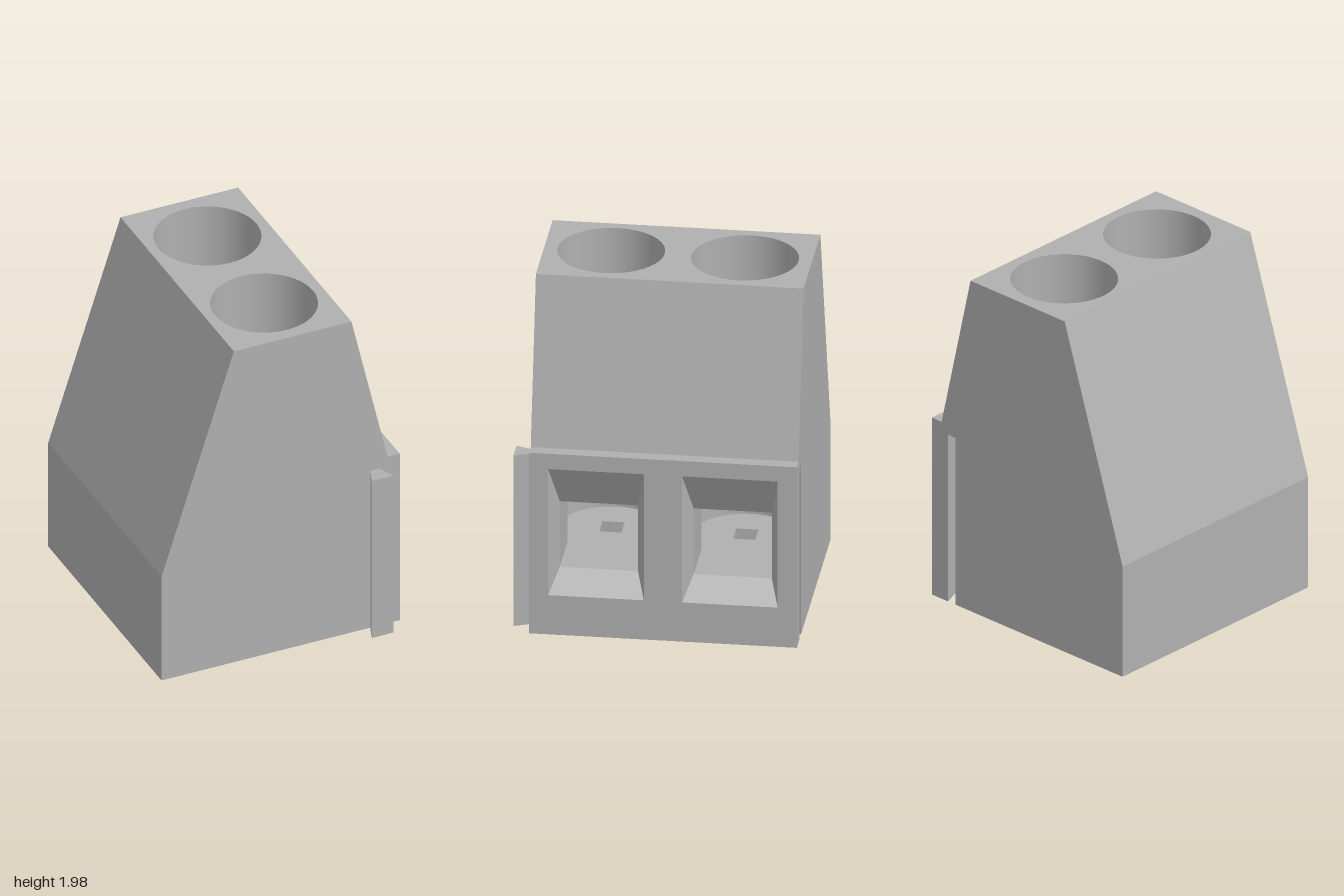
import * as THREE from 'three';

const W = 0.72;                       // half length of the block
const CELLS = [-0.36, 0.36];          // centre of each terminal
const R = 0.288, CZ = 0.069;          // screw well radius and depth position
const HALF = 0.21, FLOOR = 0.345, CEIL = 0.73, MOUTH = 0.58; // wire tunnel
const GROOVE = [[0, 0.527], [0.095, 0.49], [0.095, 0.618], [0, 0.581]]; // [depth, z]
const KEY_TOP = 1.0;

// Cross-section as [z, y]
const PROFILE = [[-0.7, 0], [-0.7, 0.66], [-0.275, 1.98], [0.416, 1.98],
  [0.628, 1.06], [0.7, 1.06], [0.7, 0]];

const poly = (pts) => new THREE.Shape(pts.map(([a, b]) => new THREE.Vector2(a, b)));
const rect = (x0, y0, x1, y1) => poly([[x0, y0], [x1, y0], [x1, y1], [x0, y1]]);

export function createModel() {
  const plastic = new THREE.MeshStandardMaterial({ color: 0xb0b0b0, side: THREE.DoubleSide });
  plastic.name = 'grey plastic';
  const block = new THREE.Group();
  block.name = 'terminalBlock';

  const add = (name, geometry, parent = block) => {
    const mesh = new THREE.Mesh(geometry, plastic);
    mesh.name = name;
    parent.add(mesh);
    return mesh;
  };

  // Flat panel: a 2D shape carried into space by a mapping rule
  const panel = (name, shape, map, parent) => {
    const g = new THREE.ShapeGeometry(shape, 24);
    const p = g.attributes.position;
    for (let i = 0; i < p.count; i++) p.setXYZ(i, ...map(p.getX(i), p.getY(i)));
    g.computeVertexNormals();
    return add(name, g, parent);
  };

  // Flat-sided wall between two matching loops of points
  const wall = (name, a, b, closed, parent) => {
    const pos = [];
    const n = a.length;
    for (let i = 0; i < (closed ? n : n - 1); i++) {
      const j = (i + 1) % n;
      pos.push(...a[i], ...a[j], ...b[j], ...a[i], ...b[j], ...b[i]);
    }
    const g = new THREE.BufferGeometry();
    g.setAttribute('position', new THREE.Float32BufferAttribute(pos, 3));
    g.computeVertexNormals();
    return add(name, g, parent);
  };

  // Outer skin, one panel per edge of the cross-section
  const names = ['backWall', 'backSlope', 'top', 'frontSlope', 'lipTop', 'wireFace', 'base'];
  PROFILE.forEach(([z0, y0], i) => {
    const [z1, y1] = PROFILE[(i + 1) % PROFILE.length];
    const len = Math.hypot(z1 - z0, y1 - y0);
    let shape = rect(-W, 0, W, len);
    if (names[i] === 'base') {
      const notch = GROOVE.map(([d, z]) => [W - d, 0.7 - z]).reverse();
      shape = poly([[-W, 0], [W, 0], ...notch, [W, len], [-W, len]]);
    }
    for (const c of CELLS) {
      if (names[i] === 'top') {
        shape.holes.push(new THREE.Path().absarc(c, CZ - z0, R, 0, Math.PI * 2, true));
      } else if (names[i] === 'wireFace') {
        shape.holes.push(rect(c - 0.2575, 1.06 - 0.97, c + 0.2575, 1.06 - 0.23));
      } else if (names[i] === 'base') {
        shape.holes.push(rect(c - 0.06, 0.7 - 0.107, c + 0.06, 0.7 + 0.024));
      }
    }
    panel(names[i], shape, (x, v) => [x, y0 + (y1 - y0) * v / len, z0 + (z1 - z0) * v / len]);
  });

  // End walls; one is notched by the groove
  panel('keyEnd', poly(PROFILE), (z, y) => [-W, y, z]);
  const [gz0, gz1] = [GROOVE[0][1], GROOVE[3][1]];
  panel('grooveEnd', poly([...PROFILE, [gz1, 0], [gz1, KEY_TOP], [gz0, KEY_TOP], [gz0, 0]]),
    (z, y) => [W, y, z]);

  // Dovetail groove
  const grooveAt = (y) => GROOVE.map(([d, z]) => [W - d, y, z]);
  wall('grooveWalls', grooveAt(0), grooveAt(KEY_TOP), false);
  panel('grooveCap', poly(GROOVE), (d, z) => [W - d, KEY_TOP, z]);

  // Dovetail key on the other end
  const key = new THREE.ExtrudeGeometry(poly(GROOVE.map(([d, z]) => [-W - d, -z])),
    { depth: KEY_TOP, bevelEnabled: false });
  key.rotateX(-Math.PI / 2);
  add('dovetailKey', key);

  // Screw well, wire tunnel and pin hole of each terminal
  const reach = Math.sqrt(R * R - HALF * HALF);
  const phi = Math.asin(HALF / R);
  const arc = Math.atan2(reach, HALF);
  for (const c of CELLS) {
    const cell = new THREE.Group();
    cell.name = 'terminal';
    cell.position.x = c;
    block.add(cell);

    const upper = new THREE.CylinderGeometry(R, R, 1.98 - CEIL, 48, 1, true);
    add('screwWell', upper, cell).position.set(0, (1.98 + CEIL) / 2, CZ);
    const lower = new THREE.CylinderGeometry(R, R, CEIL - FLOOR, 36, 1, true,
      phi, Math.PI * 2 - 2 * phi);
    add('clampChamber', lower, cell).position.set(0, (CEIL + FLOOR) / 2, CZ);

    // Funnel mouth
    const loop = (h, y0, y1, z) => [[-h, y0, z], [h, y0, z], [h, y1, z], [-h, y1, z]];
    wall('funnel', loop(0.2575, 0.23, 0.97, 0.7), loop(HALF, FLOOR, CEIL, MOUTH), true, cell);

    // Tunnel sides, ceiling and floor
    for (const s of [-1, 1]) {
      panel('tunnelSide', rect(CZ + reach, FLOOR, MOUTH, CEIL), (z, y) => [s * HALF, y, z], cell);
    }
    const outline = (clockwise) => {
      const shape = new THREE.Shape();
      shape.moveTo(-HALF, MOUTH);
      shape.lineTo(HALF, MOUTH);
      shape.lineTo(HALF, CZ + reach);
      shape.absarc(0, CZ, R, arc, Math.PI - arc, clockwise);
      return shape;
    };
    panel('tunnelCeiling', outline(false), (x, z) => [x, CEIL, z], cell);
    const floor = outline(true);
    floor.holes.push(rect(-0.06, -0.024, 0.06, 0.107));
    panel('chamberFloor', floor, (x, z) => [x, FLOOR, z], cell);

    // Square pin hole through the base
    const square = (y) => [[-0.06, y, -0.024], [0.06, y, -0.024], [0.06, y, 0.107], [-0.06, y, 0.107]];
    wall('pinHole', square(0), square(FLOOR), true, cell);
  }

  // The block stands turned about the vertical
  block.rotation.y = Math.atan2(0.777, -0.63);
  const model = new THREE.Group();
  model.name = 'model';
  model.add(block);
  return model;
}
